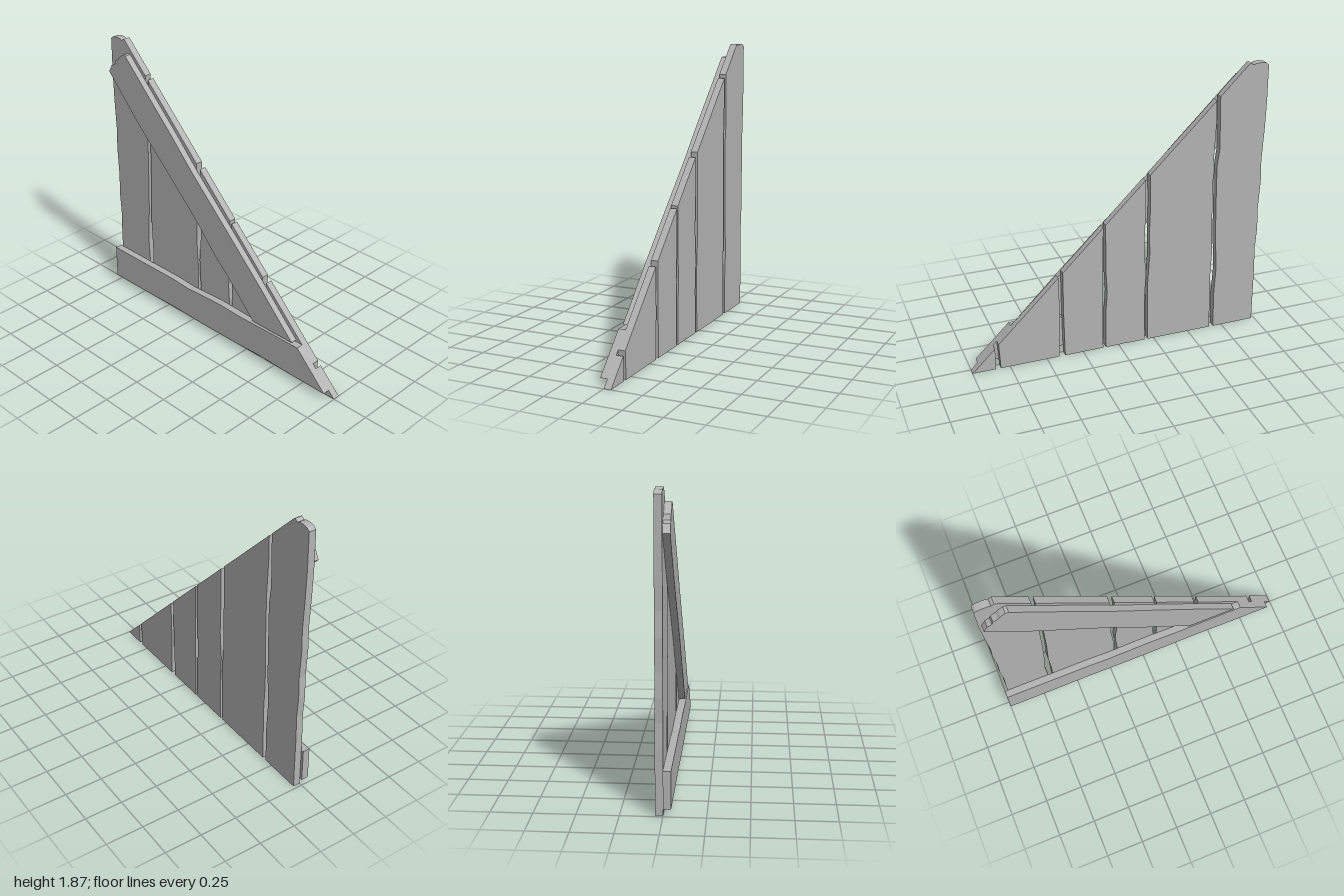
import * as THREE from 'three';

export function createModel() {
  const model = new THREE.Group();
  const wood = new THREE.MeshStandardMaterial({ color: 0xb2b2b2 });
  wood.name = 'greyWood';

  // A board is a flat outline extruded between two depths
  function board(name, outline, z0, z1) {
    const shape = new THREE.Shape(outline.map(([x, y]) => new THREE.Vector2(x, y)));
    const geometry = new THREE.ExtrudeGeometry(shape, { depth: z1 - z0, bevelEnabled: false });
    geometry.translate(0, 0, z0);
    const mesh = new THREE.Mesh(geometry, wood);
    mesh.name = name;
    model.add(mesh);
  }

  // Upright planks with worn edges, cut along the slope x + y = 1
  const planks = [
    [[-0.98, 0], [-0.69, 0], [-0.685, 0.25], [-0.695, 0.45], [-0.68, 0.7], [-0.675, 0.9], [-0.67, 1.2],
      [-0.685, 1.32], [-0.68, 1.5], [-0.675, 1.675], [-0.865, 1.865], [-0.875, 1.87], [-0.895, 1.855],
      [-0.91, 1.863], [-0.945, 1.866], [-0.98, 1.86], [-0.998, 1.845], [-1, 1.6], [-0.995, 1.4],
      [-0.985, 1.2], [-0.99, 1.05], [-0.98, 0.85], [-0.985, 0.7], [-0.975, 0.55], [-0.98, 0.4]],
    [[-0.66, 0], [-0.208, 0], [-0.205, 0.2], [-0.2, 0.4], [-0.215, 0.65], [-0.21, 0.8], [-0.215, 1],
      [-0.21, 1.21], [-0.652, 1.652], [-0.655, 1.5], [-0.645, 1.25], [-0.65, 0.85], [-0.66, 0.6], [-0.653, 0.4]],
    [[-0.185, 0], [-0.05, 0], [-0.04, 0.008], [-0.03, 0], [0.09, 0], [0.09, 0.27], [0.08, 0.42], [0.087, 0.55],
      [0.09, 0.91], [-0.18, 1.18], [-0.18, 0.85], [-0.175, 0.7], [-0.19, 0.5], [-0.18, 0.3]],
    [[0.11, 0], [0.375, 0], [0.38, 0.3], [0.38, 0.62], [0.105, 0.895], [0.11, 0.4]],
    [[0.415, 0], [0.812, 0], [0.82, 0.18], [0.41, 0.59], [0.405, 0.3]],
    [[0.845, 0], [1, 0], [0.845, 0.155]],
  ];
  planks.forEach((outline, i) => board('plank' + (i + 1), outline, -0.047, 0));

  // Horizontal rail across the foot of the planks
  board('bottomRail', [
    [-1, 0.045], [-0.7, 0.045], [-0.4, 0.05], [-0.1, 0.043], [0.15, 0.045], [0.4, 0.052], [0.7, 0.045],
    [0.955, 0.045], [0.725, 0.275], [0.5, 0.275], [0.25, 0.27], [0.05, 0.278], [-0.12, 0.272],
    [-0.25, 0.265], [-0.4, 0.275], [-1, 0.275],
  ], 0, 0.047);

  // Diagonal brace along the slope, with a broken upper end
  board('diagonalBrace', [
    [0.34, 0.288], [0.675, 0.288], [0.4, 0.57], [0.1, 0.865], [-0.2, 1.155], [-0.4, 1.365], [-0.6, 1.565],
    [-0.815, 1.782], [-0.835, 1.785], [-0.865, 1.765], [-0.885, 1.74], [-0.915, 1.725], [-0.925, 1.695],
    [-0.955, 1.68], [-0.968, 1.655], [-0.982, 1.63], [-0.75, 1.38], [-0.65, 1.28], [-0.45, 1.09],
    [-0.18, 0.83], [0, 0.63], [0.1, 0.54],
  ], 0, 0.043);

  return model;
}
